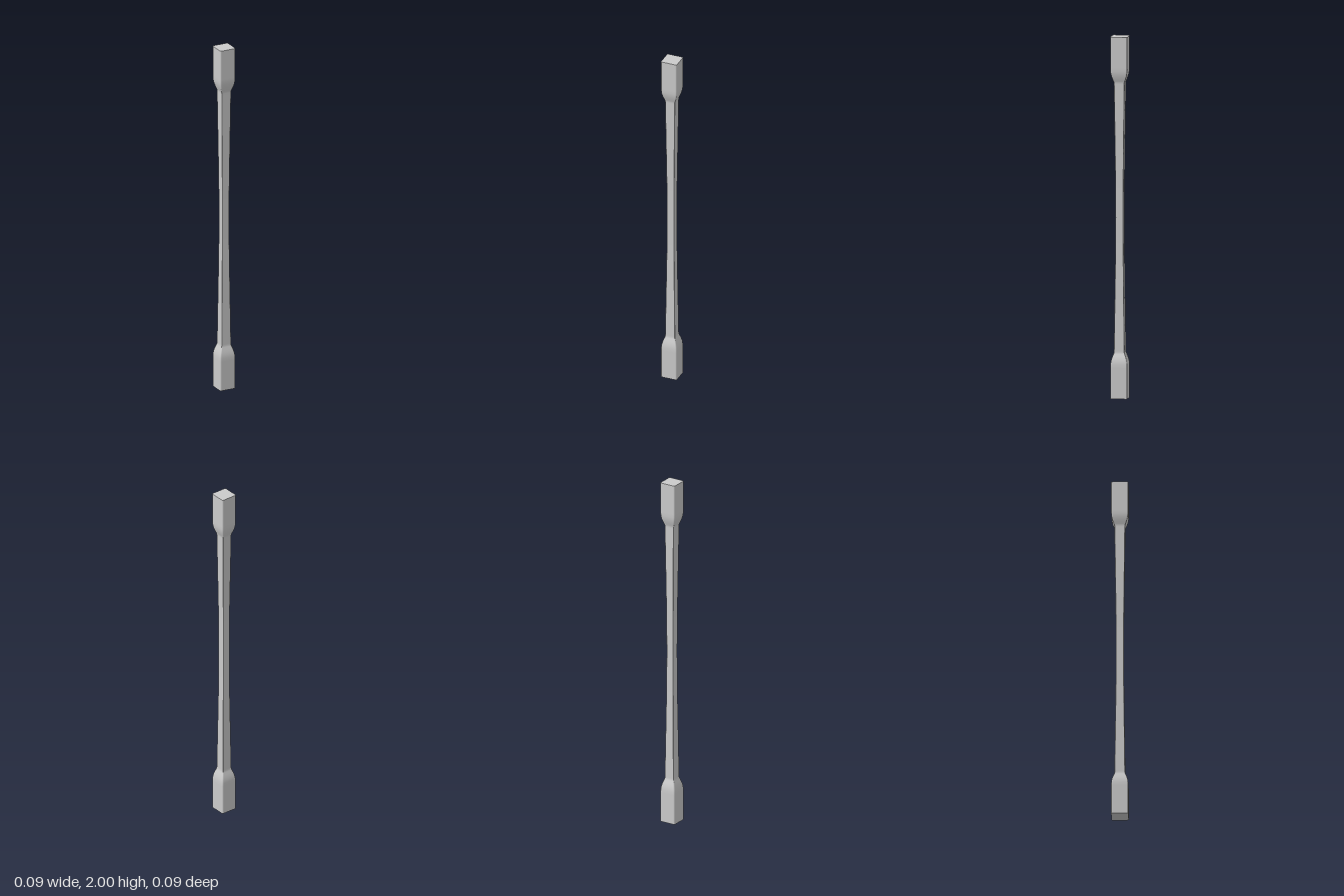
import * as THREE from 'three';

// Lower half of the post: [height, half width]; the upper half mirrors it
const HALF = [
  [0, 0.047], [0.17, 0.047], [0.19, 0.0465], [0.205, 0.0445], [0.22, 0.041], [0.235, 0.036],
  [0.247, 0.0315], [0.253, 0.0298], [0.262, 0.0292], [0.4, 0.0275], [0.55, 0.0255],
  [0.7, 0.0235], [0.85, 0.022], [1, 0.0215],
];
const PROFILE = [...HALF, ...HALF.slice(0, -1).reverse().map(([y, r]) => [2 - y, r])];

// Unit rounded square: each point holds its position and outward direction
function roundedSquare(radius = 0.15, steps = 5) {
  const points = [];
  for (let corner = 0; corner < 4; corner++) {
    const mid = (corner + 0.5) * Math.PI / 2;
    const cx = Math.sign(Math.cos(mid)) * (1 - radius);
    const cz = Math.sign(Math.sin(mid)) * (1 - radius);
    for (let i = 0; i <= steps; i++) {
      const a = (corner + i / steps) * Math.PI / 2;
      const nx = Math.cos(a), nz = Math.sin(a);
      points.push({ x: cx + radius * nx, z: cz + radius * nz, nx, nz });
    }
  }
  return points;
}

// Sides: the section scaled along the profile, with smooth normals
function shaftGeometry(section) {
  const position = [], normal = [], index = [];
  const n = section.length;
  const v = new THREE.Vector3();
  PROFILE.forEach(([y, r], j) => {
    const [y0, r0] = PROFILE[Math.max(j - 1, 0)];
    const [y1, r1] = PROFILE[Math.min(j + 1, PROFILE.length - 1)];
    const slope = (r1 - r0) / (y1 - y0);
    section.forEach((p, i) => {
      position.push(p.x * r, y, p.z * r);
      normal.push(...v.set(p.nx, -slope, p.nz).normalize().toArray());
      if (j === 0) return;
      const k = (i + 1) % n;
      const a = (j - 1) * n + i, b = (j - 1) * n + k, c = j * n + i, d = j * n + k;
      index.push(a, c, b, b, c, d);
    });
  });
  const geometry = new THREE.BufferGeometry();
  geometry.setAttribute('position', new THREE.Float32BufferAttribute(position, 3));
  geometry.setAttribute('normal', new THREE.Float32BufferAttribute(normal, 3));
  geometry.setIndex(index);
  return geometry;
}

export function createModel() {
  const group = new THREE.Group();
  group.name = 'post';
  const material = new THREE.MeshStandardMaterial({ color: 0xcccccc });
  const section = roundedSquare();

  const shaft = new THREE.Mesh(shaftGeometry(section), material);
  shaft.name = 'shaft';
  group.add(shaft);

  // Flat end faces
  const r = HALF[0][1];
  const outline = new THREE.Shape(section.map((p) => new THREE.Vector2(p.x * r, p.z * r)));
  const endGeometry = new THREE.ShapeGeometry(outline);
  for (const [name, y, turn] of [['topEnd', 2, -1], ['bottomEnd', 0, 1]]) {
    const end = new THREE.Mesh(endGeometry, material);
    end.name = name;
    end.position.y = y;
    end.rotation.x = turn * Math.PI / 2;
    group.add(end);
  }
  return group;
}
